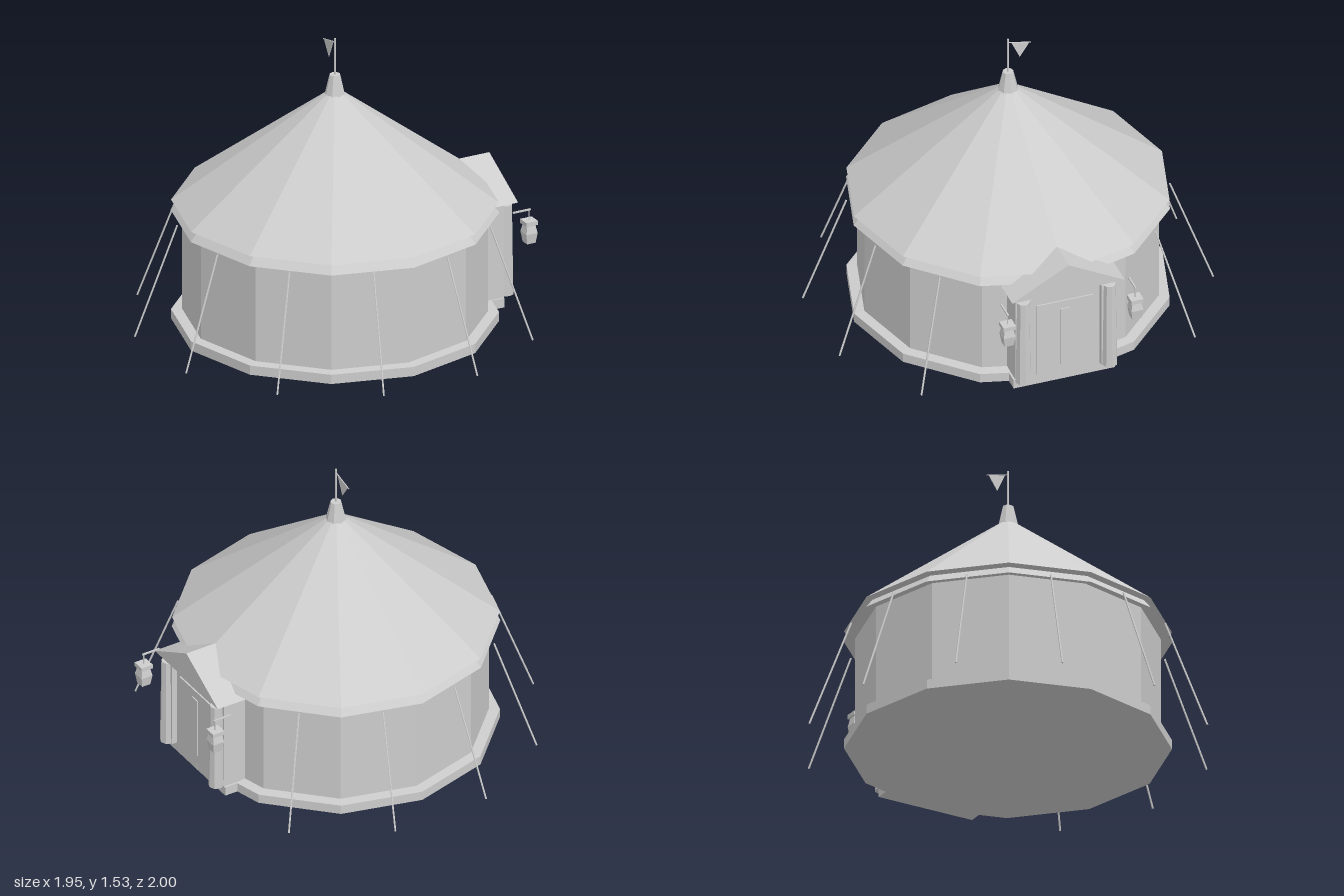
import * as THREE from 'three';

export function createModel() {
  const model = new THREE.Group();
  model.name = 'roundTent';
  const canvas = new THREE.MeshStandardMaterial({ color: 0xcccccc, flatShading: true });
  canvas.name = 'pale grey';
  const CX = 0.02; // tent axis
  const SIDES = 12;

  const add = (name, geometry, x = 0, y = 0, z = 0, parent = model) => {
    const mesh = new THREE.Mesh(geometry, canvas);
    mesh.name = name;
    mesh.position.set(x, y, z);
    parent.add(mesh);
    return mesh;
  };
  const ring = (name, profile) =>
    add(name, new THREE.LatheGeometry(profile.map(p => new THREE.Vector2(...p)), SIDES), CX);
  const box = (name, w, h, d, x, y, z, parent) =>
    add(name, new THREE.BoxGeometry(w, h, d), x, y, z, parent);
  // Outline in (-z, y), extruded along +x
  const slab = (name, outline, depth, x) => {
    const shape = new THREE.Shape(outline.map(p => new THREE.Vector2(...p)));
    const g = new THREE.ExtrudeGeometry(shape, { depth, bevelEnabled: false });
    return add(name, g.rotateY(Math.PI / 2), x);
  };
  const rod = (name, a, b, r, parent) => {
    const dir = b.clone().sub(a);
    const mesh = add(name, new THREE.CylinderGeometry(r, r, dir.length(), 6), 0, 0, 0, parent);
    mesh.position.copy(a).add(b).multiplyScalar(0.5);
    mesh.quaternion.setFromUnitVectors(new THREE.Vector3(0, 1, 0), dir.normalize());
    return mesh;
  };
  const V = (x, y, z) => new THREE.Vector3(x, y, z);

  // Twelve-sided body
  ring('floor', [[0, 0], [0.82, 0], [0.82, 0.05], [0.75, 0.055]]);
  ring('wall', [[0.765, 0.04], [0.765, 0.635]]);
  ring('valance', [[0.76, 0.605], [0.822, 0.59], [0.785, 0.637]]);
  ring('roof', [[0.76, 0.632], [0.82, 0.645], [0.045, 1.235]]);

  // Peak, pole and pennant
  add('peakCap', new THREE.CylinderGeometry(0.028, 0.052, 0.105, 8), CX, 1.282);
  rod('flagPole', V(CX, 1.32, 0), V(CX, 1.53, 0), 0.005);
  rod('flagCord', V(CX, 1.51, 0), V(CX, 1.482, -0.122), 0.003);
  slab('pennant', [[0.018, 1.503], [0.062, 1.408], [0.112, 1.483]], 0.004, CX - 0.002);

  // Guy ropes at the middle of each side, except beside the door
  for (let i = 1; i < SIDES - 1; i++) {
    const a = (i + 0.5) * Math.PI * 2 / SIDES;
    const at = (r, y) => V(CX + r * Math.cos(a), y, r * Math.sin(a));
    rod('guyRope', at(0.812, 0.595), at(1.03, 0.012), 0.005);
  }

  // Entrance porch with gable and door
  box('porchWall', 0.2, 0.53, 0.52, 0.74, 0.305, 0);
  slab('porchGable', [[-0.3, 0.568], [0.3, 0.568], [0, 0.73]], 0.4, 0.5);
  box('threshold', 0.14, 0.05, 0.54, 0.768, 0.025, 0);
  box('doorPanel', 0.008, 0.42, 0.3, 0.844, 0.27, 0);
  box('doorSlit', 0.008, 0.335, 0.05, 0.85, 0.268, 0);

  for (const s of [-1, 1]) {
    // Tied-back columns beside the door
    add('porchColumn', new THREE.CylinderGeometry(0.033, 0.04, 0.485, 8), 0.867, 0.297, s * 0.23);
    box('columnFold', 0.03, 0.485, 0.02, 0.855, 0.297, s * 0.195);

    // Hanging lantern
    const lantern = new THREE.Group();
    lantern.name = 'lantern';
    lantern.position.set(0.94, 0, s * 0.34);
    model.add(lantern);
    box('lanternArm', 0.1, 0.008, 0.008, -0.042, 0.537, 0, lantern);
    rod('lanternHook', V(0, 0.475, 0), V(0, 0.54, 0), 0.003, lantern);
    box('lanternCap', 0.066, 0.022, 0.066, 0, 0.47, 0, lantern);
    const half = Math.SQRT1_2;
    const body = (name, top, bottom, h, y) =>
      add(name, new THREE.CylinderGeometry(top / half, bottom / half, h, 4)
        .rotateY(Math.PI / 4), 0, y, 0, lantern);
    body('lanternGlass', 0.023, 0.032, 0.045, 0.437);
    body('lanternBase', 0.032, 0.024, 0.055, 0.388);
  }
  return model;
}
